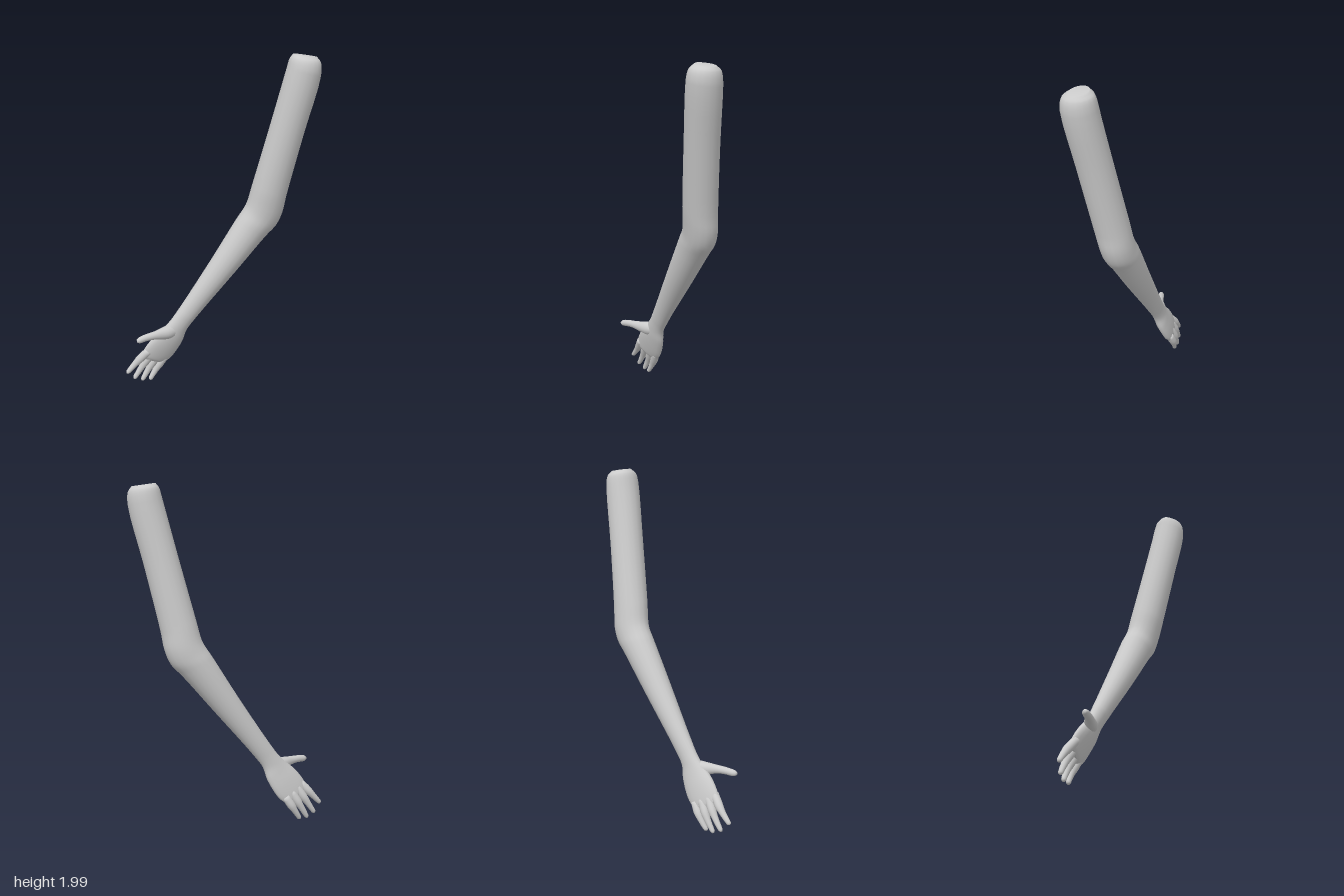
import * as THREE from 'three';

const SIDES = 18;

// Smooth skin over rings { l, r, d }: the two edge points of a section and its half depth
function loft(name, rings, steps, material) {
  const left = new THREE.CatmullRomCurve3(rings.map(k => k.l));
  const right = new THREE.CatmullRomCurve3(rings.map(k => k.r));
  const depth = new THREE.CatmullRomCurve3(rings.map((k, i) => new THREE.Vector3(i, k.d * 10, 0)));
  const n = (rings.length - 1) * steps;
  const pos = [], index = [], centres = [];
  for (let i = 0; i <= n; i++) {
    const l = left.getPoint(i / n), r = right.getPoint(i / n);
    const c = l.clone().add(r).multiplyScalar(0.5);
    const u = r.clone().sub(l).multiplyScalar(0.5);
    const un = u.clone().normalize();
    const v = new THREE.Vector3(0, 0, 1).addScaledVector(un, -un.z).setLength(depth.getPoint(i / n).y / 10);
    centres.push(c);
    for (let j = 0; j < SIDES; j++) {
      const a = j / SIDES * Math.PI * 2;
      const p = c.clone().addScaledVector(u, Math.cos(a)).addScaledVector(v, Math.sin(a));
      pos.push(p.x, p.y, p.z);
      if (i === n) continue;
      const k = i * SIDES + j, m = i * SIDES + (j + 1) % SIDES;
      index.push(k, m, k + SIDES, m, m + SIDES, k + SIDES);
    }
  }
  // Closed ends
  const start = (n + 1) * SIDES;
  pos.push(...centres[0].toArray(), ...centres[n].toArray());
  for (let j = 0; j < SIDES; j++) {
    const next = (j + 1) % SIDES;
    index.push(start, next, j, start + 1, n * SIDES + j, n * SIDES + next);
  }
  const g = new THREE.BufferGeometry();
  g.setAttribute('position', new THREE.Float32BufferAttribute(pos, 3));
  g.setIndex(index);
  g.computeVertexNormals();
  const mesh = new THREE.Mesh(g, material);
  mesh.name = name;
  return mesh;
}

// Round tapering digit through points [x, y, z, radius]
function digit(name, pts, material) {
  const p = pts.map(q => new THREE.Vector3(q[0], q[1], q[2]));
  const rings = p.map((c, i) => {
    const d = p[Math.min(i + 1, p.length - 1)].clone().sub(p[Math.max(i - 1, 0)]);
    const u = new THREE.Vector3(-d.y, d.x, 0).setLength(pts[i][3]);
    return { l: c.clone().sub(u), r: c.clone().add(u), d: pts[i][3] };
  });
  return loft(name, rings, 3, material);
}

export function createModel() {
  const group = new THREE.Group();
  group.name = 'arm';
  const skin = new THREE.MeshStandardMaterial({ color: 0xcccccc });

  // Shoulder end to knuckles: left x, y, z, right x, y, z, half depth
  const sections = [
    [0.405, 1.995, 0.05, 0.54, 1.975, 0.05, 0.05],
    [0.385, 1.97, 0.055, 0.56, 1.945, 0.052, 0.085],
    [0.368, 1.91, 0.055, 0.562, 1.87, 0.05, 0.098],
    [0.29, 1.59, 0.017, 0.485, 1.54, 0.01, 0.098],
    [0.2, 1.23, -0.03, 0.405, 1.17, -0.04, 0.098],
    [0.172, 1.12, -0.048, 0.387, 1.06, -0.055, 0.095],
    [0.152, 1.08, -0.055, 0.352, 0.98, -0.062, 0.092],
    [0.115, 1.025, -0.058, 0.29, 0.915, -0.065, 0.09],
    [-0.04, 0.78, -0.06, 0.11, 0.705, -0.07, 0.075],
    [-0.24, 0.48, -0.065, -0.142, 0.41, -0.08, 0.046],
    [-0.305, 0.395, -0.065, -0.196, 0.335, -0.085, 0.039],
    [-0.35, 0.355, -0.06, -0.217, 0.265, -0.1, 0.038],
    [-0.405, 0.305, -0.06, -0.25, 0.2, -0.113, 0.036],
    [-0.45, 0.25, -0.065, -0.285, 0.15, -0.12, 0.031],
    [-0.472, 0.205, -0.07, -0.322, 0.122, -0.122, 0.025],
    [-0.468, 0.18, -0.075, -0.345, 0.115, -0.122, 0.016],
  ];
  group.add(loft('armAndPalm', sections.map(s => ({
    l: new THREE.Vector3(s[0], s[1], s[2]), r: new THREE.Vector3(s[3], s[4], s[5]), d: s[6],
  })), 4, skin));

  // Fingers: base and tip
  const fingers = {
    indexFinger: [[-0.435, 0.222, -0.068], [-0.566, 0.083, -0.081]],
    middleFinger: [[-0.4, 0.21, -0.086], [-0.521, 0.032, -0.1]],
    ringFinger: [[-0.365, 0.185, -0.102], [-0.471, 0.01, -0.112]],
    littleFinger: [[-0.325, 0.158, -0.115], [-0.422, 0.008, -0.115]],
  };
  const taper = [[0, 0.024], [0.35, 0.025], [0.6, 0.019], [0.85, 0.015], [0.96, 0.012], [1, 0.005]];
  for (const [name, [a, b]] of Object.entries(fingers)) {
    group.add(digit(name, taper.map(([t, r]) => [
      ...a.map((v, i) => v + (b[i] - v) * t + (i === 2 ? -0.01 * Math.sin(Math.PI * t) : 0)), r,
    ]), skin));
  }

  // Thumb
  group.add(digit('thumb', [
    [-0.25, 0.345, -0.08, 0.03], [-0.3, 0.342, -0.062, 0.042], [-0.35, 0.343, -0.04, 0.036],
    [-0.4, 0.347, -0.013, 0.025], [-0.45, 0.347, 0.006, 0.021], [-0.497, 0.341, 0.023, 0.018],
    [-0.512, 0.339, 0.028, 0.009],
  ], skin));

  return group;
}
